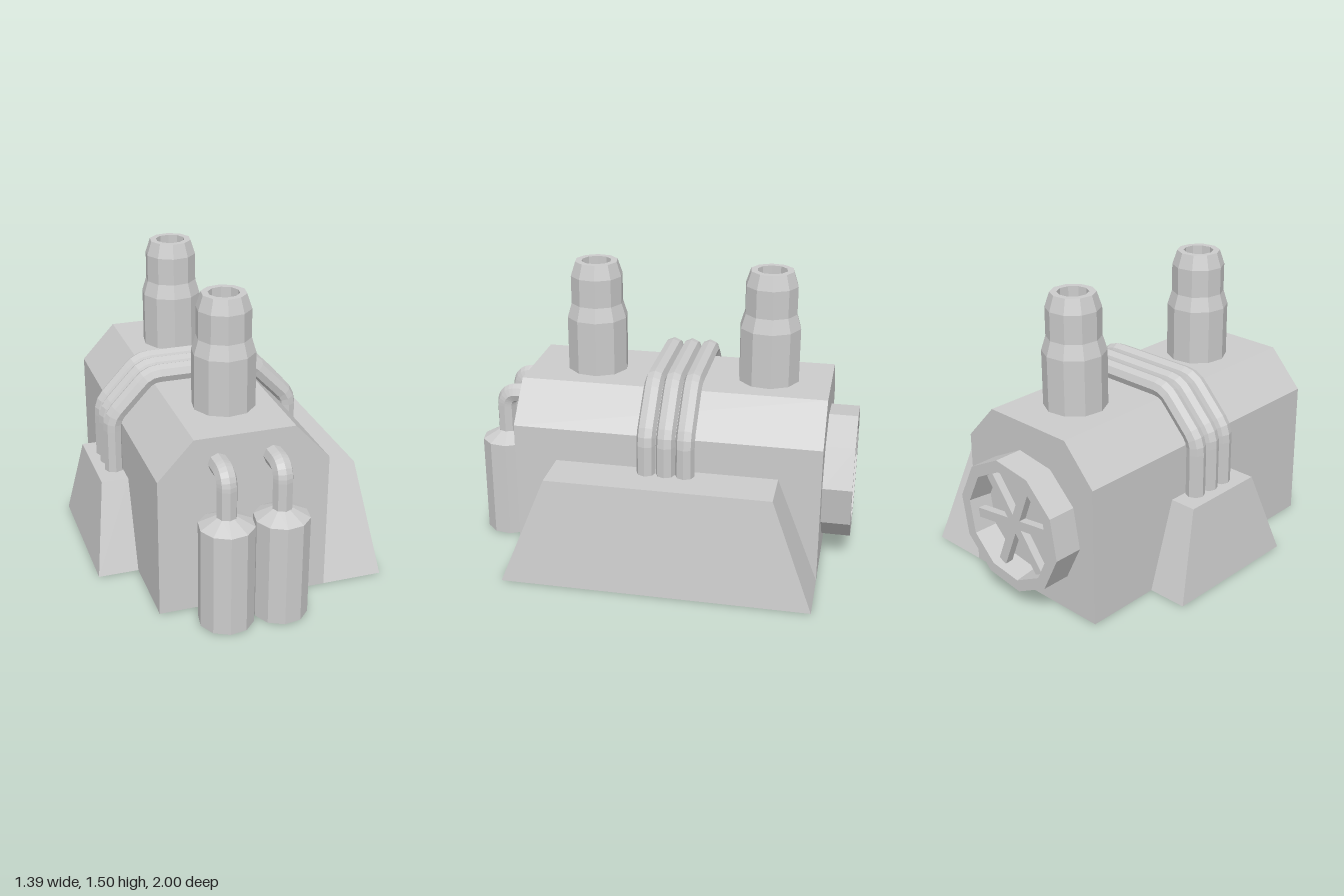
import * as THREE from 'three';

const material = new THREE.MeshStandardMaterial({ color: 0xcccccc, flatShading: true });
const rad = THREE.MathUtils.degToRad;

function add(parent, name, geometry, x = 0, y = 0, z = 0) {
  const mesh = new THREE.Mesh(geometry, material);
  mesh.name = name;
  mesh.position.set(x, y, z);
  parent.add(mesh);
  return mesh;
}

// Ten-sided turned part from [radius, height] pairs
function turned(profile, turn) {
  return new THREE.LatheGeometry(profile.map(p => new THREE.Vector2(...p)), 10, rad(turn));
}

// Tube along straight runs with rounded corners
function bentPipe(points, radius, bend, segments) {
  const pts = points.map(p => new THREE.Vector3(...p));
  const path = new THREE.CurvePath();
  let from = pts[0];
  for (let i = 1; i < pts.length - 1; i++) {
    const a = pts[i].clone().add(pts[i - 1].clone().sub(pts[i]).setLength(bend));
    const b = pts[i].clone().add(pts[i + 1].clone().sub(pts[i]).setLength(bend));
    path.add(new THREE.LineCurve3(from, a));
    path.add(new THREE.QuadraticBezierCurve3(a, pts[i], b));
    from = b;
  }
  path.add(new THREE.LineCurve3(from, pts[pts.length - 1]));
  return new THREE.TubeGeometry(path, segments, radius, 8, false);
}

// Side block leaning in on its three free sides; side is +1 or -1
function buttress(side, inner, outer, topOuter, height, bottomZ, topZ) {
  const geometry = new THREE.BoxGeometry(1, 1, 1);
  const p = geometry.attributes.position;
  for (let i = 0; i < p.count; i++) {
    const top = p.getY(i) > 0;
    const isOuter = p.getX(i) * side > 0;
    const zs = top ? topZ : bottomZ;
    p.setXYZ(i, side * (isOuter ? (top ? topOuter : outer) : inner),
      top ? height : 0, p.getZ(i) > 0 ? zs[1] : zs[0]);
  }
  geometry.computeVertexNormals();
  return geometry;
}

export function createModel() {
  const model = new THREE.Group();
  model.name = 'generator';

  // Main housing with chamfered shoulders
  const section = new THREE.Shape([
    [-0.49, 0], [0.38, 0], [0.38, 0.73], [0.2, 0.925], [-0.31, 0.925], [-0.49, 0.73],
  ].map(p => new THREE.Vector2(...p)));
  add(model, 'housing', new THREE.ExtrudeGeometry(section, { depth: 1.58, bevelEnabled: false }), 0, 0, -0.85);

  // Side buttresses
  add(model, 'leftButtress', buttress(1, 0.38, 0.695, 0.62, 0.555, [-0.85, 0.73], [-0.635, 0.51]));
  add(model, 'rightButtress', buttress(-1, 0.49, 0.7, 0.63, 0.46, [-0.45, 0.32], [-0.3, 0.16]));

  // Hollow chimneys
  for (const z of [0.385, -0.525]) {
    add(model, 'chimney', turned([
      [0.16, 0.92], [0.16, 1.21], [0.137, 1.285], [0.137, 1.43], [0.112, 1.505],
      [0.078, 1.505], [0.078, 1.38], [0, 1.38],
    ], -9), -0.05, 0, z);
  }

  // Pipes strapped over the housing
  for (const z of [-0.172, -0.073, 0.026]) {
    add(model, 'overPipe', bentPipe([
      [-0.532, 0, z], [-0.532, 0.755, z], [-0.33, 0.97, z],
      [0.22, 0.97, z], [0.428, 0.755, z], [0.428, 0.02, z],
    ], 0.049, 0.05, 72));
  }

  // Front tanks, each with an elbow pipe into the housing
  for (const x of [-0.192, 0.086]) {
    const tank = new THREE.Group();
    tank.name = 'tank';
    tank.position.set(x, 0, 0.864);
    model.add(tank);
    add(tank, 'tankBody', turned([[0, 0], [0.138, 0], [0.138, 0.53], [0.05, 0.577], [0, 0.577]], -9));
    add(tank, 'elbowPipe', bentPipe([[0, 0.55, 0], [0, 0.79, 0], [0, 0.79, -0.16]], 0.051, 0.07, 24));
  }

  // Rear fan: open ring with recessed floor and six spokes
  const fan = new THREE.Group();
  fan.name = 'fan';
  fan.position.set(-0.055, 0.43, -0.85);
  model.add(fan);
  add(fan, 'fanRing', turned([
    [0.345, 0], [0.345, 0.15], [0.285, 0.15], [0.27, 0.03], [0, 0.03],
  ], 10)).rotation.x = -Math.PI / 2;
  for (let i = 0; i < 3; i++) {
    add(fan, 'spokePair', new THREE.BoxGeometry(0.54, 0.05, 0.04), 0, 0, -0.09).rotation.z = rad(-8 + 60 * i);
  }

  return model;
}
